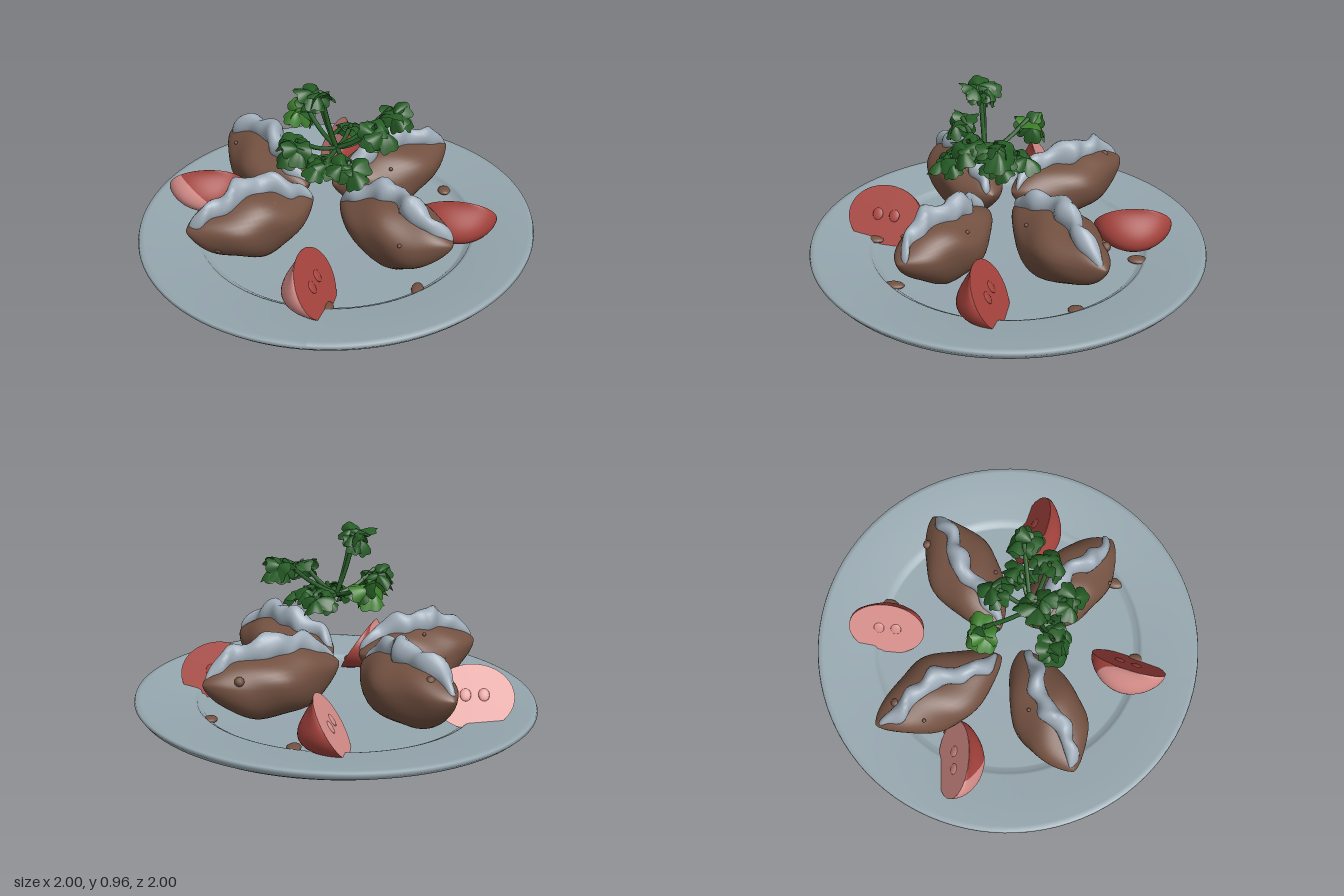
import * as THREE from 'three';

const mat = (name, color, side = THREE.FrontSide) => {
  const m = new THREE.MeshStandardMaterial({ color, side });
  m.name = name;
  return m;
};
const V = (x, y, z) => new THREE.Vector3(x, y, z);
const UP = V(0, 1, 0);

// Closed loft: point(u, a) gives the surface for u in -1..1 and angle a
function loft(rings, segs, point) {
  const pos = [], idx = [];
  for (let i = 0; i <= rings; i++)
    for (let j = 0; j < segs; j++) pos.push(...point(-Math.cos(Math.PI * i / rings), 2 * Math.PI * j / segs).toArray());
  for (let i = 0; i < rings; i++)
    for (let j = 0; j < segs; j++) {
      const k = (j + 1) % segs, a = i * segs + j, b = i * segs + k, c = a + segs, d = b + segs;
      idx.push(a, b, d, a, d, c);
    }
  const g = new THREE.BufferGeometry();
  g.setAttribute('position', new THREE.Float32BufferAttribute(pos, 3));
  g.setIndex(idx);
  g.computeVertexNormals();
  return g;
}

export function createModel() {
  const root = new THREE.Group();
  const M = {
    plate: mat('plate glaze', 0x96a7af),
    brown: mat('potato skin', 0x735141),
    cream: mat('cream', 0xa0adb9),
    red: mat('tomato red', 0xa8443e),
    pink: mat('tomato pink', 0xd88f8b),
    green: mat('leaf green', 0x265c26, THREE.DoubleSide),
    light: mat('light leaf green', 0x3d7f2c, THREE.DoubleSide),
  };
  const add = (parent, name, geo, m) => {
    const mesh = new THREE.Mesh(geo, m);
    mesh.name = name;
    parent.add(mesh);
    return mesh;
  };

  // Plate, with the rim rising slightly towards +x
  const profile = [[0, .008], [.6, .005], [.65, 0], [.68, .006], [.72, .022], [.82, .042], [.92, .068], [.98, .098],
    [1, .12], [.995, .135], [.97, .138], [.85, .122], [.71, .106], [.695, .1], [.688, .088], [.67, .085], [.66, .076], [0, .072]];
  const plate = new THREE.LatheGeometry(profile.map(p => new THREE.Vector2(...p)), 96);
  const pp = plate.attributes.position;
  for (let i = 0; i < pp.count; i++)
    pp.setY(i, pp.getY(i) + .026 * pp.getX(i) * Math.min(1, pp.getY(i) / .12));
  plate.computeVertexNormals();
  add(root, 'plate', plate, M.plate);

  // Stuffed potatoes: outer tip, inner tip, seed
  const potatoes = [
    [-.63, -.53, -.15, 0, 1], [.53, -.52, -.02, -.04, 2.3],
    [-.65, .47, -.1, .09, 3.7], [.6, .43, .04, .1, 5.1],
  ];
  potatoes.forEach(([x0, z0, x1, z1, s]) => {
    const g = new THREE.Group();
    g.name = 'stuffedPotato';
    root.add(g);
    const axis = V(x1 - x0, 0, z1 - z0), half = axis.length() / 2;
    const mid = V((x0 + x1) / 2, .29, (z0 + z1) / 2);
    axis.normalize();
    const side = UP.clone().cross(axis);
    const at = (u, w, h) => mid.clone().addScaledVector(axis, u * half).addScaledVector(side, w).addScaledVector(UP, h);
    add(g, 'potatoSkin', loft(36, 36, (u, a) => {
      const p = Math.pow(Math.max(0, 1 - Math.pow(Math.abs(u), 1.8)), .72);
      const lump = 1 + .05 * Math.sin(4 * u + 2 * a + s) + .035 * Math.sin(7 * u - 3 * a + 2 * s);
      const c = Math.cos(a), h = Math.sin(a);
      return at(u, .18 * p * c * lump, (h > 0 ? .135 : .205) * p * h * lump + .02 * u * u);
    }), M.brown);
    // Wavy cream ridge along the opening
    add(g, 'creamRidge', loft(56, 18, (u, a) => {
      const p = Math.pow(Math.max(0, 1 - u * u), .35);
      const n = 1 + .15 * Math.sin(9 * u + s) + .1 * Math.sin(17 * u + 2 * a + s);
      const sway = .025 * Math.sin(4.5 * u + s * 2) + .009 * Math.sin(13 * u + s);
      const y = .03 + .125 * Math.pow(Math.max(0, 1 - u * u), .8) + .007 * Math.sin(11 * u + s);
      return at(u * .95, sway + .045 * p * n * Math.cos(a), y + .066 * p * n * Math.sin(a));
    }), M.cream);
    // Crumbs on the skin near the outer tip
    for (let i = 0; i < 5; i++) {
      const crumb = add(g, 'crumb', new THREE.IcosahedronGeometry(i ? .01 : .024, 1), M.brown);
      const a = .3 + i * 1.1 + s, u = -.62 + .22 * i;
      const p = Math.pow(1 - Math.pow(Math.abs(u), 1.8), .72);
      crumb.position.copy(at(u, .18 * p * Math.cos(a), .13 * p * Math.sin(a)));
    }
  });

  // Tomato wedges: a leaning half ellipsoid sunk in the plate, fuller below, with a flat cut face
  // x, z, turn, cut colour, pink range of the skin, tilt of the colour seam
  const lean = new THREE.Matrix4().set(.197, 0, 0, 0, 0, .137, 0, 0, 0, .085, .15, -.045, 0, 0, 0, 1);
  const wedges = [
    [-.055, -.63, Math.PI / 2 + .12, M.pink, 0, 0, 0], [-.685, -.085, .2, M.pink, 0, .48, .7],
    [.615, .045, -.03, M.red, 0, 0, 0], [-.055, .635, -Math.PI / 2 - .12, M.red, .25, 1, 0],
  ];
  wedges.forEach(([x, z, turn, cut, from, to, tilt]) => {
    const g = new THREE.Group();
    g.name = 'tomatoWedge';
    g.position.set(x, .2, z);
    g.rotation.y = turn;
    root.add(g);
    const skin = (a, b, m) => {
      if (b <= a) return;
      const geo = new THREE.SphereGeometry(1, 24, 24, a * Math.PI, (b - a) * Math.PI).rotateZ(tilt);
      const p = geo.attributes.position;
      for (let i = 0; i < p.count; i++) p.setZ(i, p.getZ(i) * (1 - .9 * p.getY(i)));
      geo.applyMatrix4(lean).computeVertexNormals();
      add(g, 'tomatoSkin', geo, m);
    };
    skin(0, from, M.red);
    skin(from, to, M.pink);
    skin(to, 1, M.red);
    add(g, 'cutFace', new THREE.CircleGeometry(1, 40).rotateY(Math.PI).applyMatrix4(lean), cut);
    for (const sx of [-.25, .2])
      add(g, 'seedPocket', new THREE.SphereGeometry(.14, 12, 8).scale(1, 1.4, .4).translate(sx, .05, 0).applyMatrix4(lean), cut);
  });

  // Sauce smears beside the food
  [[.07, -.66, .035, .05], [.05, .68, .03, .045], [.44, .1, .035, .05], [.54, -.39, .035, .04],
    [.45, .49, .03, .05], [-.54, -.18, .03, .04]].forEach(([x, z, a, b]) => {
    const m = add(root, 'sauceSmear', new THREE.SphereGeometry(1, 14, 8).scale(a, .016, b), M.brown);
    m.position.set(x, .095, z);
  });

  // Parsley leaf: a scalloped three-lobed disc, cupped, growing along +x
  const leaf = new THREE.RingGeometry(.001, 1, 60, 4);
  const lp = leaf.attributes.position;
  for (let i = 0; i < lp.count; i++) {
    const x = lp.getX(i), y = lp.getY(i), r = Math.hypot(x, y), a = Math.atan2(y, x);
    const k = .58 + .3 * Math.pow(Math.abs(Math.cos(1.5 * a)), .7) + .13 * Math.abs(Math.sin(4.5 * a + Math.PI / 2));
    lp.setXYZ(i, x * k + .5, y * k, -.45 * r * r * k + .2 * r * Math.sin(3 * a + 1));
  }
  leaf.computeVertexNormals();

  // Sprig: stems spread from a hub, three drooping leaves on each
  const sprig = new THREE.Group();
  sprig.name = 'parsleySprig';
  root.add(sprig);
  const hub = V(.02, .61, .11);
  // Tip, leaf size and droop
  const tips = [
    [-.16, .73, -.08, .105, .7], [.07, .65, -.06, .09, .4], [.27, .8, .02, .105, .6],
    [.21, .77, .16, .098, .6], [-.15, .72, .25, .105, .7], [.1, .63, .27, .095, .4],
    [-.05, .91, .14, .088, -.4], [.17, .66, .03, .085, .4], [-.03, .62, .23, .09, .4], [-.07, .91, .13, .08, .7],
  ];
  tips.forEach(([tx, ty, tz, size, droop], i) => {
    const tip = V(tx, ty, tz);
    const bend = hub.clone().lerp(tip, .5).add(V(0, -.02, 0));
    add(sprig, 'stem', new THREE.TubeGeometry(new THREE.CatmullRomCurve3([hub, bend, tip]), 10, .011, 6), M.green);
    const heading = Math.atan2(tz - hub.z, tx - hub.x);
    for (const k of [-1, 0, 1]) {
      const h = heading + k * 1.45, fall = droop + .25 * k * Math.cos(i * 2);
      const d = V(Math.cos(h) * Math.cos(fall), -Math.sin(fall), Math.sin(h) * Math.cos(fall));
      const n = UP.clone().addScaledVector(d, -d.y).normalize().applyAxisAngle(d, .5 * Math.sin(i * 3 + k * 2));
      const m = add(sprig, 'leaf', leaf, i === 0 && k < 1 ? M.light : M.green);
      m.quaternion.setFromRotationMatrix(new THREE.Matrix4().makeBasis(d, n.clone().cross(d), n));
      m.scale.setScalar(size * (k ? .85 : 1));
      m.position.copy(tip);
    }
  });
  return root;
}
